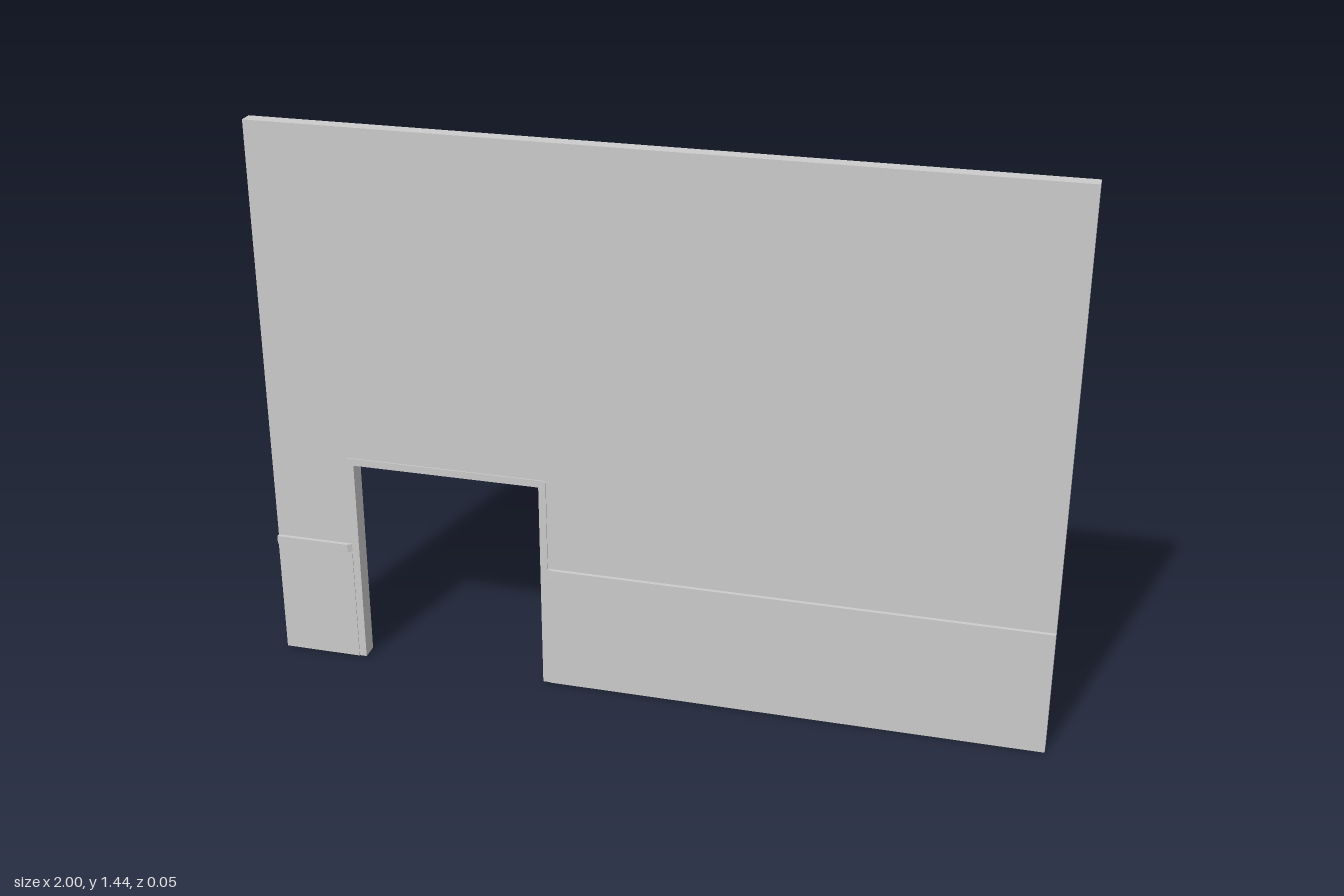
import * as THREE from 'three';

const W = 1, H = 1.443;                          // half width and height of the wall
const L = -0.775, R = -0.284, T = 0.56;          // doorway opening
const TRIM = 0.019;                              // casing width
const BACK = -0.021, FRONT = 0.016;              // wall faces

const material = new THREE.MeshStandardMaterial({ color: 0xcccccc, flatShading: true });

function shapeOf(points) {
  return new THREE.Shape(points.map(([x, y]) => new THREE.Vector2(x, y)));
}

function add(group, name, geometry) {
  const mesh = new THREE.Mesh(geometry, material);
  mesh.name = name;
  group.add(mesh);
  return mesh;
}

// Upright slab drawn in the xy plane, running from z0 to z1
function slab(group, name, points, z0, z1) {
  const geometry = new THREE.ExtrudeGeometry(shapeOf(points), { depth: z1 - z0, bevelEnabled: false });
  geometry.translate(0, 0, z0);
  return add(group, name, geometry);
}

// Horizontal strip drawn in plan (x, z), running from y0 to y1
function strip(group, name, points, y0, y1) {
  const geometry = new THREE.ExtrudeGeometry(
    shapeOf(points.map(([x, z]) => [x, -z])), { depth: y1 - y0, bevelEnabled: false });
  geometry.rotateX(-Math.PI / 2);
  geometry.translate(0, y0, 0);
  return add(group, name, geometry);
}

export function createModel() {
  const group = new THREE.Group();
  group.name = 'wallWithDoorway';
  const outL = L - TRIM, outR = R + TRIM;

  // Wall slab notched for the doorway, its cut edge hidden inside the casing
  const jL = L - TRIM / 2, jR = R + TRIM / 2, jT = T + TRIM / 2;
  slab(group, 'wall', [
    [-W, 0], [jL, 0], [jL, jT], [jR, jT], [jR, 0], [W, 0], [W, H], [-W, H],
  ], BACK, FRONT);

  // Door casing wrapping the opening and standing proud on both faces
  slab(group, 'doorCasing', [
    [outL, 0], [L, 0], [L, T], [R, T], [R, 0], [outR, 0], [outR, T + TRIM], [outL, T + TRIM],
  ], -0.026, 0.019);

  // Wainscot panels and chair rails on the front, rail ends tapered toward the casing
  const sides = [
    { name: 'right', edge: -W, door: outL, taper: -0.011 },
    { name: 'left', edge: W, door: outR, taper: 0.016 },
  ];
  for (const { name, edge, door, taper } of sides) {
    strip(group, name + 'Wainscot',
      [[edge, FRONT - 0.004], [door, FRONT - 0.004], [door, 0.021], [edge, 0.021]], 0, 0.312);
    strip(group, name + 'ChairRail',
      [[edge, FRONT - 0.004], [door, FRONT - 0.004], [door, 0.019], [door + taper, 0.026], [edge, 0.026]], 0.311, 0.333);
  }
  return group;
}
